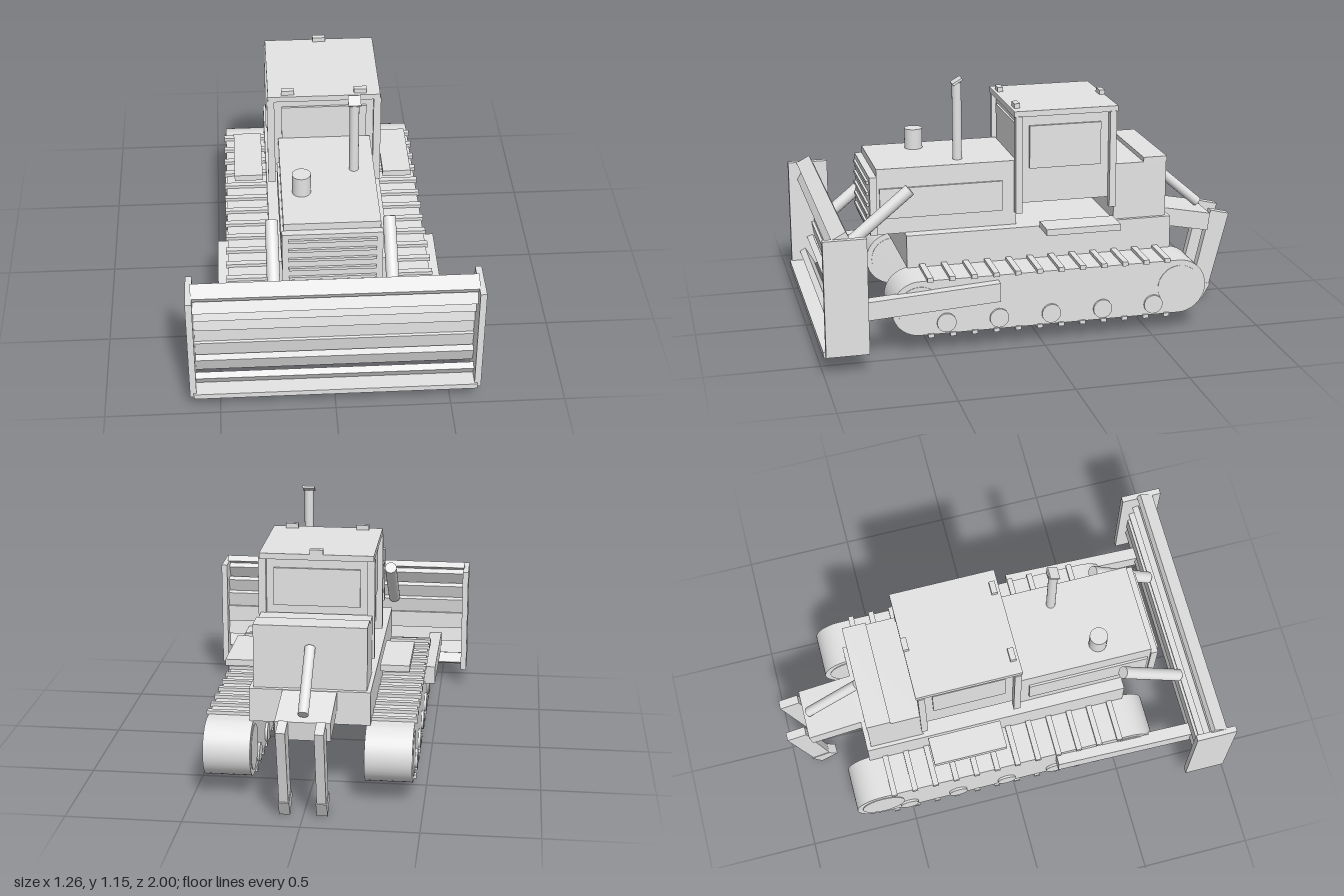
import * as THREE from 'three';

export function createModel() {
  const model = new THREE.Group();
  model.name = 'bulldozer';
  const grey = new THREE.MeshStandardMaterial({ color: 0xe4e4e4 });
  grey.name = 'light grey';

  const add = (name, geo) => {
    const m = new THREE.Mesh(geo, grey);
    m.name = name;
    model.add(m);
    return m;
  };
  // box given by its extents
  const box = (name, x0, x1, y0, y1, z0, z1) =>
    add(name, new THREE.BoxGeometry(x1 - x0, y1 - y0, z1 - z0)
      .translate((x0 + x1) / 2, (y0 + y1) / 2, (z0 + z1) / 2));
  // box symmetric about x = 0
  const wide = (name, hx, y0, y1, z0, z1) => box(name, -hx, hx, y0, y1, z0, z1);
  // box on both sides
  const pair = (name, x0, x1, y0, y1, z0, z1) => {
    box(name + 'Left', x0, x1, y0, y1, z0, z1);
    box(name + 'Right', -x1, -x0, y0, y1, z0, z1);
  };
  // cylinder between two points
  const rod = (name, a, b, r, sides = 24) => {
    const p = new THREE.Vector3(...a), q = new THREE.Vector3(...b);
    const m = add(name, new THREE.CylinderGeometry(r, r, p.distanceTo(q), sides));
    m.position.copy(p).lerp(q, 0.5);
    m.quaternion.setFromUnitVectors(new THREE.Vector3(0, 1, 0), q.sub(p).normalize());
  };
  // side profile of [z, y] points, extruded across x
  const profile = (name, pts, x, width) => {
    const shape = new THREE.Shape(pts.map(p => new THREE.Vector2(...p)));
    add(name, new THREE.ExtrudeGeometry(shape, { depth: width, bevelEnabled: false })
      .rotateY(-Math.PI / 2).translate(x + width / 2, 0, 0));
  };

  // tracks
  const trackY = 0.205, trackR = 0.125, frontZ = 0.552, rearZ = -0.637;
  pair('trackFrame', 0.245, 0.45, trackY - trackR, trackY + trackR, rearZ, frontZ);
  for (const s of [1, -1]) {
    for (const z of [frontZ, rearZ]) {
      rod('trackEnd', [s * 0.245, trackY, z], [s * 0.45, trackY, z], trackR, 40);
      rod('trackWheel', [s * 0.242, trackY, z], [s * 0.453, trackY, z], 0.1, 32);
    }
    for (let i = 0; i < 5; i++) {
      const z = 0.435 - i * 0.2375;
      rod('roller', [s * 0.234, 0.132, z], [s * 0.461, 0.132, z], 0.043);
    }
  }
  for (let i = 0; i < 12; i++) {
    const z = 0.505 - i * 0.0985;
    pair('upperShoe', 0.238, 0.459, 0.325, 0.345, z - 0.013, z + 0.013);
    pair('lowerShoe', 0.238, 0.459, 0.068, 0.085, z - 0.013, z + 0.013);
  }

  // chassis, fender steps
  wide('chassis', 0.262, 0.33, 0.479, -0.652, 0.572);
  pair('fenderStep', 0.28, 0.41, 0.479, 0.508, -0.37, -0.03);

  // hood and grille
  wide('hood', 0.207, 0.477, 0.777, 0.06, 0.692);
  wide('grille', 0.215, 0.477, 0.743, 0.692, 0.724);
  for (let i = 0; i < 5; i++) {
    const y = 0.713 - i * 0.05;
    wide('grilleSlat', 0.188, y - 0.007, y + 0.007, 0.72, 0.735);
  }
  pair('hoodPanel', 0.204, 0.217, 0.55, 0.688, 0.125, 0.68);
  rod('airCleaner', [-0.12, 0.77, 0.465], [-0.12, 0.87, 0.465], 0.041);
  rod('exhaustPipe', [0.117, 0.77, 0.31], [0.117, 1.128, 0.31], 0.021);
  const cap = add('exhaustCap', new THREE.BoxGeometry(0.055, 0.01, 0.05));
  cap.position.set(0.117, 1.134, 0.31);
  cap.rotation.x = 0.52;

  // cab
  wide('cabBody', 0.225, 0.582, 0.99, -0.37, 0.05);
  wide('cabRoof', 0.25, 0.985, 1.011, -0.4, 0.078);
  pair('frontPost', 0.222, 0.255, 0.542, 0.988, 0.042, 0.073);
  pair('rearPost', 0.222, 0.255, 0.542, 0.988, -0.392, -0.362);
  pair('sideWindow', 0.223, 0.236, 0.742, 0.938, -0.325, 0.005);
  wide('frontWindow', 0.19, 0.742, 0.941, 0.048, 0.06);
  wide('rearWindow', 0.19, 0.772, 0.941, -0.38, -0.368);
  pair('roofLamp', 0.133, 0.19, 1.01, 1.032, 0.038, 0.064);
  wide('rearRoofLamp', 0.029, 1.01, 1.032, -0.402, -0.376);

  // rear tank
  wide('rearTank', 0.245, 0.477, 0.74, -0.632, -0.385);
  wide('tankTop', 0.245, 0.737, 0.761, -0.635, -0.525);

  // ripper
  profile('ripperBeam', [[-0.62, 0.483], [-0.9, 0.428], [-0.89, 0.345], [-0.62, 0.398]], 0, 0.235);
  rod('ripperCylinder', [0, 0.666, -0.63], [0, 0.453, -0.875], 0.023);
  for (const x of [0.08, -0.08]) {
    profile('ripperShank', [[-0.91, 0.437], [-1, 0.415], [-0.912, 0.07], [-0.832, 0.095]], x, 0.04);
    profile('ripperTooth', [[-0.832, 0.097], [-0.917, 0.07], [-0.877, 0], [-0.795, 0.06]], x, 0.047);
  }

  // push arms and lift cylinders
  for (const s of [1, -1]) {
    profile('pushArm', [[0.2, 0.308], [0.2, 0.223], [0.86, 0.183], [0.86, 0.266]], s * 0.468, 0.058);
    rod('liftCylinder', [s * 0.255, 0.69, 0.552], [s * 0.255, 0.455, 0.838], 0.028);
  }

  // blade: overlapping slats along an arc
  const slatR = 0.42;
  for (let i = -3; i <= 3; i++) {
    const a = i * Math.PI / 18;
    const slat = add('bladeSlat', new THREE.BoxGeometry(1.2, 0.08, 0.03));
    slat.position.set(0, 0.336 + slatR * Math.sin(a), 0.86 + slatR * (1 - Math.cos(a)));
    slat.rotation.x = -a;
  }
  const lip = add('bladeTopBar', new THREE.BoxGeometry(1.212, 0.03, 0.07));
  lip.position.set(0, 0.604, 0.912);
  lip.rotation.x = 0.49;
  wide('cuttingEdge', 0.612, 0.083, 0.108, 0.91, 1);
  pair('bladeEnd', 0.6, 0.628, 0.087, 0.604, 0.803, 0.99);

  return model;
}
